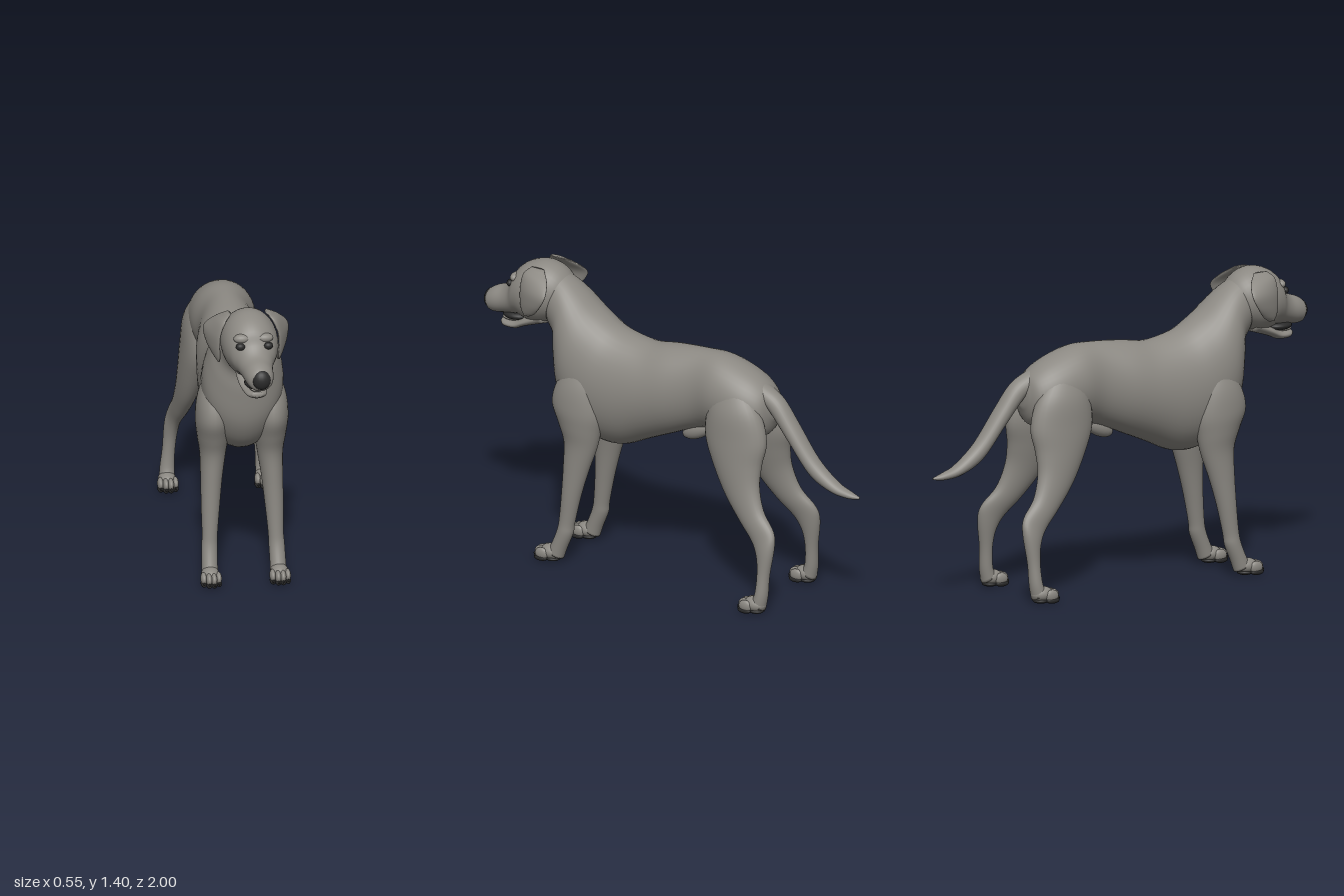
import * as THREE from 'three';

const coat = new THREE.MeshStandardMaterial({ color: 0x8b8882 });
coat.name = 'coat';
const dark = new THREE.MeshStandardMaterial({ color: 0x2a2a2a });
dark.name = 'darkSkin';

// Smooth skin through elliptical sections. Each section is
// [za, ya, zb, yb, halfWidth, x, skew]: two opposite edge points seen from the side,
// the half width, the sideways centre, and how far the first edge leans sideways.
function loft(name, sections, material = coat, side = 1, radial = 28, steps = 5) {
  const curve = (f) => new THREE.CatmullRomCurve3(sections.map(f), false, 'catmullrom', 0.5);
  const edgeA = curve((s) => new THREE.Vector3(s[4], s[1], s[0]));
  const edgeB = curve((s) => new THREE.Vector3(s[5] ?? 0, s[3], s[2]));
  const lean = curve((s) => new THREE.Vector3(s[6] ?? 0, 0, 0));
  const rows = (sections.length - 1) * steps;
  const pos = [];
  const index = [];
  const centres = [];
  let turn = 0;
  for (let i = 0; i <= rows; i++) {
    const a = edgeA.getPoint(i / rows);
    const b = edgeB.getPoint(i / rows);
    const k = lean.getPoint(i / rows).x;
    const c = new THREE.Vector3(b.x * side, (a.y + b.y) / 2, (a.z + b.z) / 2);
    const vy = (a.y - b.y) / 2;
    const vz = (a.z - b.z) / 2;
    if (i > 0) turn += -vz * (c.y - centres[i - 1].y) + vy * (c.z - centres[i - 1].z);
    centres.push(c);
    for (let j = 0; j < radial; j++) {
      const t = (j / radial) * Math.PI * 2;
      const s = Math.sin(t);
      pos.push(c.x + a.x * Math.cos(t) + k * side * s, c.y + vy * s, c.z + vz * s);
    }
  }
  const face = (p, q, r) => (turn > 0 ? index.push(p, q, r) : index.push(p, r, q));
  for (let i = 0; i < rows; i++) {
    for (let j = 0; j < radial; j++) {
      const a = i * radial + j;
      const b = i * radial + ((j + 1) % radial);
      face(a, b, b + radial);
      face(a, b + radial, a + radial);
    }
  }
  // end caps
  const first = (rows + 1) * radial;
  for (const c of [centres[0], centres[rows]]) pos.push(c.x, c.y, c.z);
  for (let j = 0; j < radial; j++) {
    const n = (j + 1) % radial;
    face(first, n, j);
    face(first + 1, rows * radial + j, rows * radial + n);
  }
  const geo = new THREE.BufferGeometry();
  geo.setAttribute('position', new THREE.Float32BufferAttribute(pos, 3));
  geo.setIndex(index);
  geo.computeVertexNormals();
  const mesh = new THREE.Mesh(geo, material);
  mesh.name = name;
  return mesh;
}

function blob(name, x, y, z, rx, ry, rz, material = coat, tilt = 0) {
  const mesh = new THREE.Mesh(new THREE.SphereGeometry(1, 20, 14), material);
  mesh.position.set(x, y, z);
  mesh.scale.set(rx, ry, rz);
  mesh.rotation.x = tilt;
  mesh.name = name;
  return mesh;
}

// Four toes, a heel and dark pads below; the origin is under the paw's middle
function makePaw(name, x, z) {
  const paw = new THREE.Group();
  paw.name = name;
  paw.position.set(x, 0, z);
  paw.add(blob('instep', 0, 0.043, -0.015, 0.042, 0.036, 0.055));
  paw.add(blob('heelPad', 0, 0.014, -0.02, 0.037, 0.014, 0.04, dark));
  for (let i = 0; i < 4; i++) {
    const tx = (i - 1.5) * 0.023;
    const tz = i === 1 || i === 2 ? 0.033 : 0.018;
    paw.add(blob('toe', tx, 0.037, tz, 0.0145, 0.028, 0.034));
    paw.add(blob('toePad', tx, 0.014, tz + 0.005, 0.014, 0.014, 0.034, dark));
    paw.add(blob('claw', tx, 0.021, tz + 0.031, 0.005, 0.008, 0.01, dark));
  }
  return paw;
}

export function createModel() {
  const dog = new THREE.Group();
  dog.name = 'dog';

  // Rump, barrel, chest and neck
  dog.add(loft('torso', [
    [-0.53, 0.98, -0.54, 0.88, 0.04], [-0.5, 1.03, -0.5, 0.79, 0.11],
    [-0.42, 1.085, -0.38, 0.76, 0.15], [-0.28, 1.135, -0.27, 0.77, 0.15],
    [-0.15, 1.14, -0.15, 0.755, 0.13], [0, 1.13, 0, 0.695, 0.158],
    [0.12, 1.115, 0.12, 0.645, 0.17], [0.22, 1.13, 0.25, 0.59, 0.177],
    [0.3, 1.155, 0.37, 0.59, 0.182], [0.36, 1.19, 0.5, 0.65, 0.188],
    [0.42, 1.23, 0.58, 0.78, 0.185], [0.48, 1.28, 0.605, 0.94, 0.16],
    [0.54, 1.325, 0.61, 1.04, 0.132], [0.6, 1.36, 0.65, 1.1, 0.108],
  ], coat, 1, 40));

  // Skull and muzzle, turned slightly to one side
  dog.add(loft('head', [
    [0.53, 1.29, 0.6, 1.12, 0.07, 0], [0.6, 1.37, 0.64, 1.12, 0.115, 0],
    [0.68, 1.402, 0.7, 1.1, 0.13, 0.003], [0.76, 1.387, 0.76, 1.1, 0.125, 0.007],
    [0.82, 1.345, 0.805, 1.115, 0.106, 0.01], [0.85, 1.288, 0.84, 1.115, 0.085, 0.014],
    [0.89, 1.25, 0.88, 1.112, 0.073, 0.019], [0.94, 1.232, 0.93, 1.105, 0.065, 0.024],
    [0.975, 1.21, 0.963, 1.11, 0.052, 0.027], [0.987, 1.185, 0.977, 1.13, 0.026, 0.03],
  ], coat, 1, 36));
  dog.add(loft('lowerJaw', [
    [0.69, 1.17, 0.67, 1.1, 0.07, 0.004], [0.77, 1.12, 0.78, 1.065, 0.066, 0.008],
    [0.83, 1.088, 0.83, 1.045, 0.056, 0.014], [0.88, 1.083, 0.89, 1.045, 0.045, 0.018],
    [0.907, 1.082, 0.913, 1.06, 0.024, 0.02],
  ]));
  dog.add(blob('mouthInside', 0.014, 1.105, 0.845, 0.05, 0.022, 0.065, dark));
  dog.add(blob('tongue', 0.018, 1.088, 0.862, 0.034, 0.012, 0.05));
  dog.add(blob('nose', 0.03, 1.168, 0.968, 0.043, 0.047, 0.032, dark, -0.15));

  for (const side of [1, -1]) {
    const label = side > 0 ? 'left' : 'right';
    dog.add(blob(label + 'Eye', 0.012 + side * 0.064, 1.281, 0.838, 0.022, 0.017, 0.017, dark));
    dog.add(blob(label + 'Brow', 0.01 + side * 0.052, 1.312, 0.815, 0.04, 0.022, 0.025));

    // Hanging ear, its rear edge flaring outward
    dog.add(loft(label + 'Ear', [
      [0.72, 1.388, 0.65, 1.385, 0.012, 0.09, 0],
      [0.745, 1.36, 0.605, 1.345, 0.02, 0.128, -0.012],
      [0.75, 1.3, 0.585, 1.295, 0.017, 0.162, -0.027],
      [0.75, 1.24, 0.615, 1.24, 0.014, 0.162, -0.024],
      [0.745, 1.195, 0.66, 1.19, 0.012, 0.148, -0.012],
      [0.73, 1.165, 0.7, 1.165, 0.006, 0.138, 0],
    ], coat, side));

    // Shoulder and foreleg
    dog.add(loft(label + 'ForeLeg', [
      [0.46, 1.03, 0.37, 1.01, 0.03, 0.12], [0.54, 0.9, 0.34, 0.88, 0.07, 0.132],
      [0.572, 0.79, 0.315, 0.76, 0.08, 0.134], [0.54, 0.69, 0.325, 0.67, 0.073, 0.132],
      [0.512, 0.6, 0.345, 0.58, 0.06, 0.132], [0.51, 0.48, 0.385, 0.46, 0.05, 0.14],
      [0.515, 0.35, 0.422, 0.33, 0.043, 0.147], [0.525, 0.22, 0.45, 0.2, 0.036, 0.152],
      [0.535, 0.16, 0.458, 0.145, 0.037, 0.155], [0.56, 0.095, 0.488, 0.07, 0.037, 0.157],
      [0.58, 0.055, 0.505, 0.02, 0.038, 0.158],
    ], coat, side));
    dog.add(makePaw(label + 'ForePaw', side * 0.159, 0.582));

    // Thigh, hock and hind foot
    dog.add(loft(label + 'HindLeg', [
      [-0.27, 1.03, -0.42, 1.03, 0.03, 0.095], [-0.24, 0.91, -0.51, 0.92, 0.072, 0.1],
      [-0.232, 0.78, -0.55, 0.79, 0.077, 0.108], [-0.285, 0.65, -0.535, 0.68, 0.068, 0.125],
      [-0.36, 0.52, -0.535, 0.58, 0.054, 0.145], [-0.45, 0.41, -0.57, 0.475, 0.042, 0.165],
      [-0.525, 0.33, -0.637, 0.395, 0.033, 0.185], [-0.56, 0.26, -0.65, 0.325, 0.033, 0.2],
      [-0.57, 0.18, -0.632, 0.19, 0.03, 0.212], [-0.565, 0.1, -0.627, 0.09, 0.034, 0.22],
      [-0.55, 0.06, -0.615, 0.02, 0.037, 0.222],
    ], coat, side));
    dog.add(makePaw(label + 'HindPaw', side * 0.224, -0.55));
  }

  // Tail sweeping down and back
  dog.add(loft('tail', [
    [-0.42, 1.07, -0.45, 0.96, 0.05, 0.005], [-0.49, 1.038, -0.51, 0.935, 0.053, 0.01],
    [-0.58, 0.985, -0.555, 0.88, 0.05, 0.015], [-0.66, 0.88, -0.636, 0.78, 0.05, 0.018],
    [-0.77, 0.73, -0.743, 0.648, 0.045, 0.02], [-0.877, 0.637, -0.85, 0.588, 0.036, 0.02],
    [-0.95, 0.605, -0.94, 0.572, 0.024, 0.02], [-1, 0.588, -0.998, 0.578, 0.006, 0.02],
  ]));

  // Belly sheath
  dog.add(blob('sheath', 0.01, 0.735, -0.125, 0.034, 0.04, 0.085, coat, 0.45));
  return dog;
}
